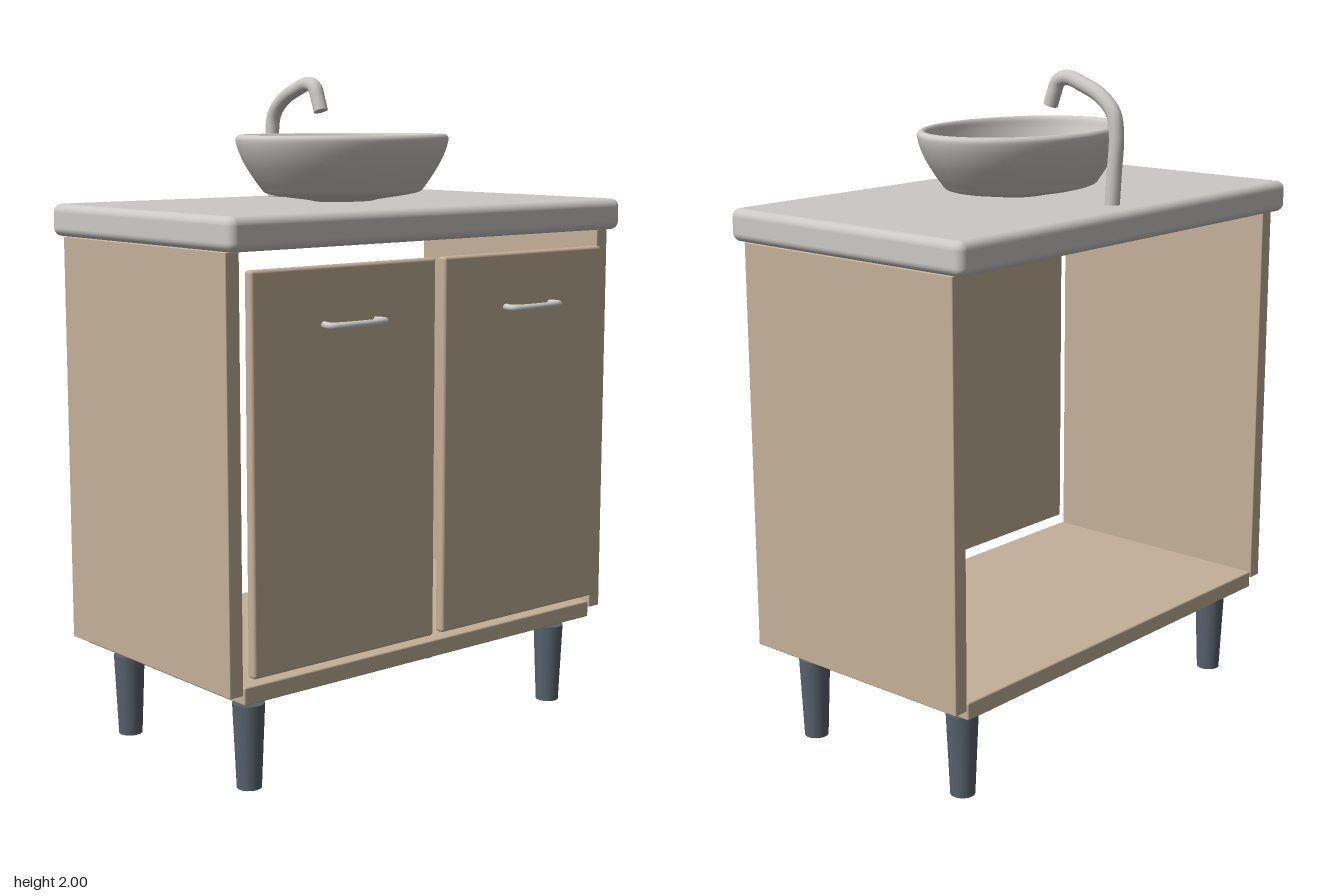
import * as THREE from 'three';
import { RoundedBoxGeometry } from 'three/addons/geometries/RoundedBoxGeometry.js';

export function createModel() {
  const group = new THREE.Group();
  const material = (name, color) => {
    const m = new THREE.MeshStandardMaterial({ color });
    m.name = name;
    return m;
  };
  const wood = material('wood', 0xc3b098);
  const stone = material('stone', 0xcbc9c5);
  const legGrey = material('leg grey', 0x57626c);

  const add = (name, geometry, mat, x = 0, y = 0, z = 0) => {
    const mesh = new THREE.Mesh(geometry, mat);
    mesh.name = name;
    mesh.position.set(x, y, z);
    group.add(mesh);
    return mesh;
  };
  // Softly edged board given by its limits on each axis
  const board = (name, mat, [x0, x1], [y0, y1], [z0, z1], r) => add(name,
    new RoundedBoxGeometry(x1 - x0, y1 - y0, z1 - z0, 4, r), mat,
    (x0 + x1) / 2, (y0 + y1) / 2, (z0 + z1) / 2);
  // Round bar with closed ends, following a smooth path
  const bar = (name, path, radius, segments, x, y, z) => {
    const curve = new THREE.CatmullRomCurve3(path.map(p => new THREE.Vector3(...p)));
    const tube = add(name, new THREE.TubeGeometry(curve, segments, radius, 16), stone, x, y, z);
    for (const [t, dir] of [[0, -1], [1, 1]]) {
      const cap = new THREE.Mesh(new THREE.CircleGeometry(radius, 16), stone);
      cap.name = name + 'End';
      cap.position.copy(curve.getPointAt(t));
      cap.quaternion.setFromUnitVectors(new THREE.Vector3(0, 0, 1),
        curve.getTangentAt(t).multiplyScalar(dir));
      tube.add(cap);
    }
  };

  // Cabinet, open at the back
  board('countertop', stone, [-0.76, 0.76], [1.53, 1.625], [-0.475, 0.415], 0.025);
  board('bottomPanel', wood, [-0.695, 0.695], [0.28, 0.332], [-0.43, 0.37], 0.005);
  for (const s of [-1, 1]) {
    const span = (a, b) => s > 0 ? [a, b] : [-b, -a];
    const side = s > 0 ? 'left' : 'right';
    board(side + 'SidePanel', wood, span(0.699, 0.745), [0.31, 1.53], [-0.43, 0.37], 0.003);
    board(side + 'Door', wood, span(0.017, 0.685), [0.36, 1.48], [0.37, 0.402], 0.009);

    // Bowed door handle
    bar(side + 'Handle', [
      [-0.092, 0, 0.412], [-0.098, 0, 0.43], [-0.096, 0, 0.45], [-0.07, 0, 0.46], [0, 0, 0.465],
      [0.07, 0, 0.46], [0.096, 0, 0.45], [0.098, 0, 0.43], [0.092, 0, 0.412],
    ], 0.01, 48, s * 0.35, 1.32, 0);

    // Tapered feet
    for (const z of [0.275, -0.33]) {
      add(side + 'Leg', new THREE.CylinderGeometry(0.047, 0.036, 0.25, 24), legGrey, s * 0.61, 0.125, z);
    }
  }

  // Oval basin: outer wall, rolled rim, then inner wall
  const v = (x, y) => new THREE.Vector2(x, y);
  const profile = new THREE.SplineCurve([
    v(0.1, 1.626), v(0.13, 1.632), v(0.25, 1.649), v(0.28, 1.67), v(0.325, 1.73), v(0.349, 1.775),
    v(0.359, 1.808), v(0.355, 1.821), v(0.343, 1.826), v(0.331, 1.818), v(0.323, 1.79),
    v(0.3, 1.74), v(0.25, 1.69), v(0.18, 1.662), v(0.1, 1.653), v(0.047, 1.651),
  ]).getPoints(60);
  const basin = add('basin',
    new THREE.LatheGeometry([v(0, 1.626), ...profile, v(0, 1.651)], 64), stone, 0, 0, -0.03);
  basin.scale.z = 0.26 / 0.36;

  // Drain
  const ring = add('drainRing', new THREE.TorusGeometry(0.04, 0.006, 10, 32), stone, 0, 1.652, -0.033);
  ring.rotation.x = Math.PI / 2;
  ring.scale.y = 0.85;
  add('drainPlug', new THREE.CylinderGeometry(0.029, 0.029, 0.012, 32), stone, 0, 1.654, -0.033);

  // Arched tap
  bar('faucet', [
    [0, 1.62, -0.37], [0, 1.72, -0.376], [0, 1.82, -0.382], [0, 1.885, -0.37], [0, 1.93, -0.325],
    [0, 1.96, -0.26], [0, 1.977, -0.2], [0, 1.965, -0.168], [0, 1.93, -0.152], [0, 1.895, -0.139],
  ], 0.022, 64, 0, 0, 0);

  return group;
}
